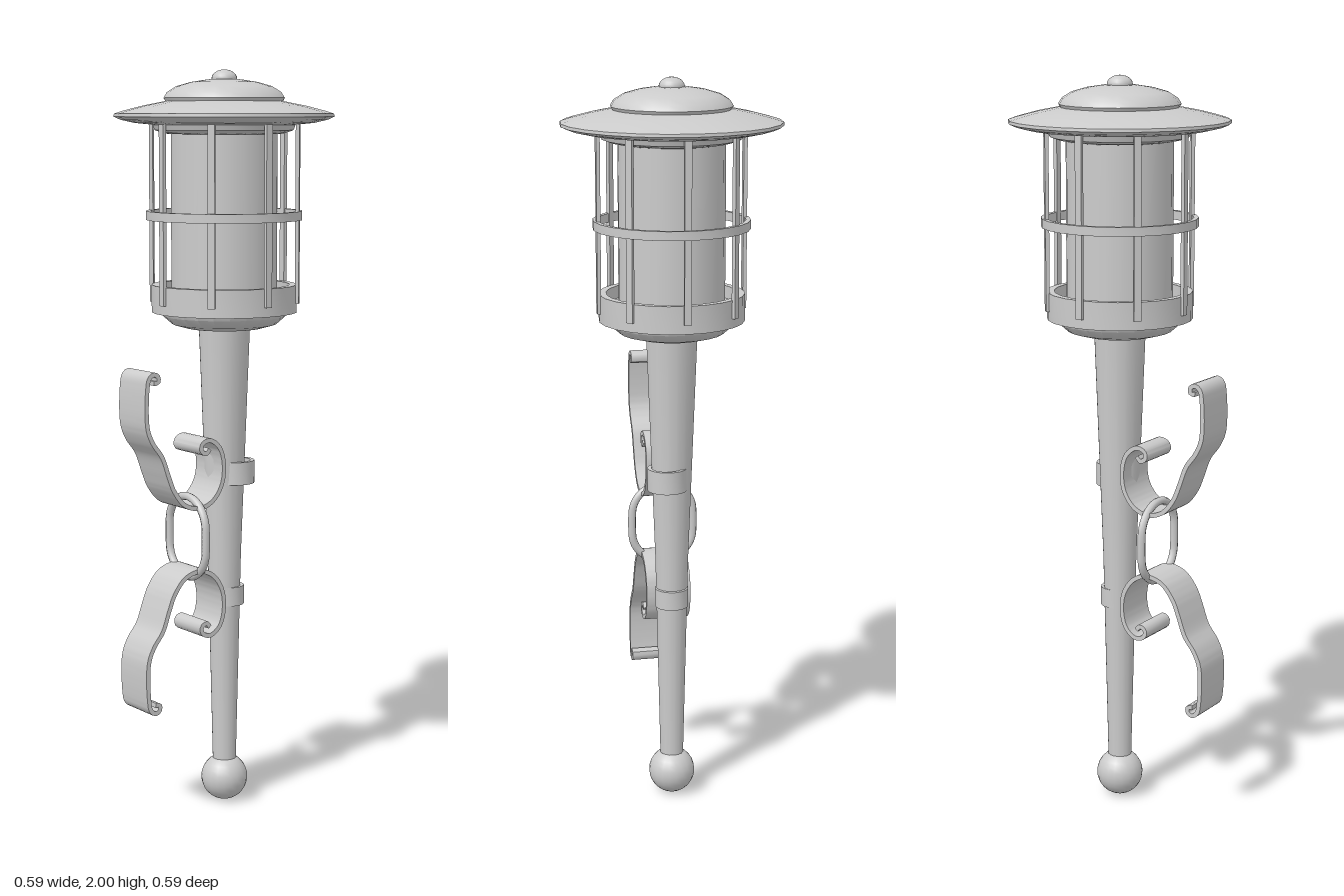
import * as THREE from 'three';
import { toCreasedNormals } from 'three/addons/utils/BufferGeometryUtils.js';

const V2 = (p) => new THREE.Vector2(p[0], p[1]);

export function createModel() {
  const group = new THREE.Group();
  const grey = new THREE.MeshStandardMaterial({ color: 0xcccccc, side: THREE.DoubleSide });

  const add = (name, geometry, x = 0, y = 0, z = 0, parent = group) => {
    const mesh = new THREE.Mesh(geometry, grey);
    mesh.name = name;
    mesh.position.set(x, y, z);
    parent.add(mesh);
    return mesh;
  };
  const lathe = (points, sides = 24) =>
    toCreasedNormals(new THREE.LatheGeometry(points.map(V2), sides), 0.6);
  // Rectangular-section hoop around the y axis
  const hoop = (inner, outer, h, sides = 24) =>
    lathe([[inner, -h / 2], [outer, -h / 2], [outer, h / 2], [inner, h / 2], [inner, -h / 2]], sides);

  // Tapered handle with a ball at its foot
  add('handle', lathe([[0, 0.1], [0.032, 0.1], [0.046, 0.7], [0.07, 1.33], [0, 1.33]], 16));
  add('handleBall', new THREE.SphereGeometry(0.064, 20, 14), 0, 0.064, 0);

  // Lantern base: rounded bowl inside a straight-walled cup
  add('bowl', lathe([[0, 1.315], [0.1, 1.317], [0.14, 1.328], [0.165, 1.35], [0.172, 1.375], [0, 1.375]]));
  add('cup', lathe([[0.172, 1.375], [0.172, 1.36], [0.195, 1.36], [0.195, 1.434], [0.175, 1.434], [0.175, 1.4], [0, 1.4]]));
  add('lampCylinder', new THREE.CylinderGeometry(0.142, 0.142, 0.48, 24), 0, 1.62, 0);

  // Cage of eight flat bars and a middle hoop
  const cage = new THREE.Group();
  cage.name = 'cage';
  group.add(cage);
  for (let i = 0; i < 8; i++) {
    const a = (i * Math.PI) / 4;
    const bar = add('cageBar', new THREE.BoxGeometry(0.019, 0.475, 0.01),
      Math.sin(a) * 0.197, 1.6225, Math.cos(a) * 0.197, cage);
    bar.rotation.y = a;
  }
  add('cageHoop', hoop(0.196, 0.209, 0.024), 0, 1.618, 0, cage);

  // Roof: collar, wide brim, dome and knob
  add('roofBrim', lathe([
    [0, 1.832], [0.15, 1.832], [0.165, 1.835], [0.185, 1.842], [0.19, 1.856], [0.24, 1.861],
    [0.275, 1.869], [0.293, 1.877], [0.292, 1.885], [0.27, 1.892], [0.22, 1.905], [0.155, 1.918], [0, 1.92],
  ]));
  add('roofDome', lathe([
    [0.155, 1.915], [0.161, 1.926], [0.152, 1.941], [0.128, 1.956], [0.09, 1.967], [0.045, 1.974], [0, 1.976],
  ]));
  const knob = add('roofKnob', new THREE.SphereGeometry(0.034, 20, 12), 0, 1.976, 0);
  knob.scale.y = 0.7;

  // Scrolled strap, drawn as (z, y) relative to the middle of the link
  const middle = 0.759;
  const strapPath = [
    [0.268, 0.433], [0.255, 0.434], [0.254, 0.449], [0.268, 0.456], [0.282, 0.446], [0.288, 0.42],
    [0.288, 0.315], [0.272, 0.275], [0.243, 0.235], [0.222, 0.18], [0.205, 0.14], [0.17, 0.099],
    [0.122, 0.086], [0.08, 0.103], [0.051, 0.145], [0.045, 0.2], [0.059, 0.245], [0.09, 0.267],
    [0.115, 0.258], [0.117, 0.24], [0.101, 0.232], [0.091, 0.243],
  ];
  const strap = (flip) => {
    const curve = new THREE.CatmullRomCurve3(
      strapPath.map(([z, y]) => new THREE.Vector3(z, middle + flip * y, 0)));
    const n = 110, sideA = [], sideB = [];
    for (let i = 0; i <= n; i++) {
      const p = curve.getPointAt(i / n), t = curve.getTangentAt(i / n);
      sideA.push(new THREE.Vector2(p.x - t.y * 0.006, p.y + t.x * 0.006));
      sideB.unshift(new THREE.Vector2(p.x + t.y * 0.006, p.y - t.x * 0.006));
    }
    const geo = new THREE.ExtrudeGeometry(new THREE.Shape([...sideA, ...sideB]),
      { depth: 0.124, bevelEnabled: false });
    geo.translate(0, 0, -0.062);
    geo.rotateY(-Math.PI / 2);
    return toCreasedNormals(geo, 0.8);
  };
  add('upperStrap', strap(1));
  add('lowerStrap', strap(-1));

  // Oval link joining the straps
  const link = [];
  const rx = 0.086, straight = 0.03;
  for (let i = 0; i < 32; i++) {
    const a = ((i + 0.5) / 32) * Math.PI * 2;
    link.push(new THREE.Vector3(Math.cos(a) * rx, middle + Math.sin(a) * 0.08 + Math.sign(Math.sin(a)) * straight, 0.122));
  }
  add('link', new THREE.TubeGeometry(new THREE.CatmullRomCurve3(link, true), 64, 0.011, 8, true));

  // Clasps around the handle
  add('upperClasp', hoop(0.043, 0.054, 0.062, 20), 0.017, 0.926, -0.022);
  add('lowerClasp', hoop(0.036, 0.046, 0.052, 20), 0.002, 0.583, -0.008);

  return group;
}
